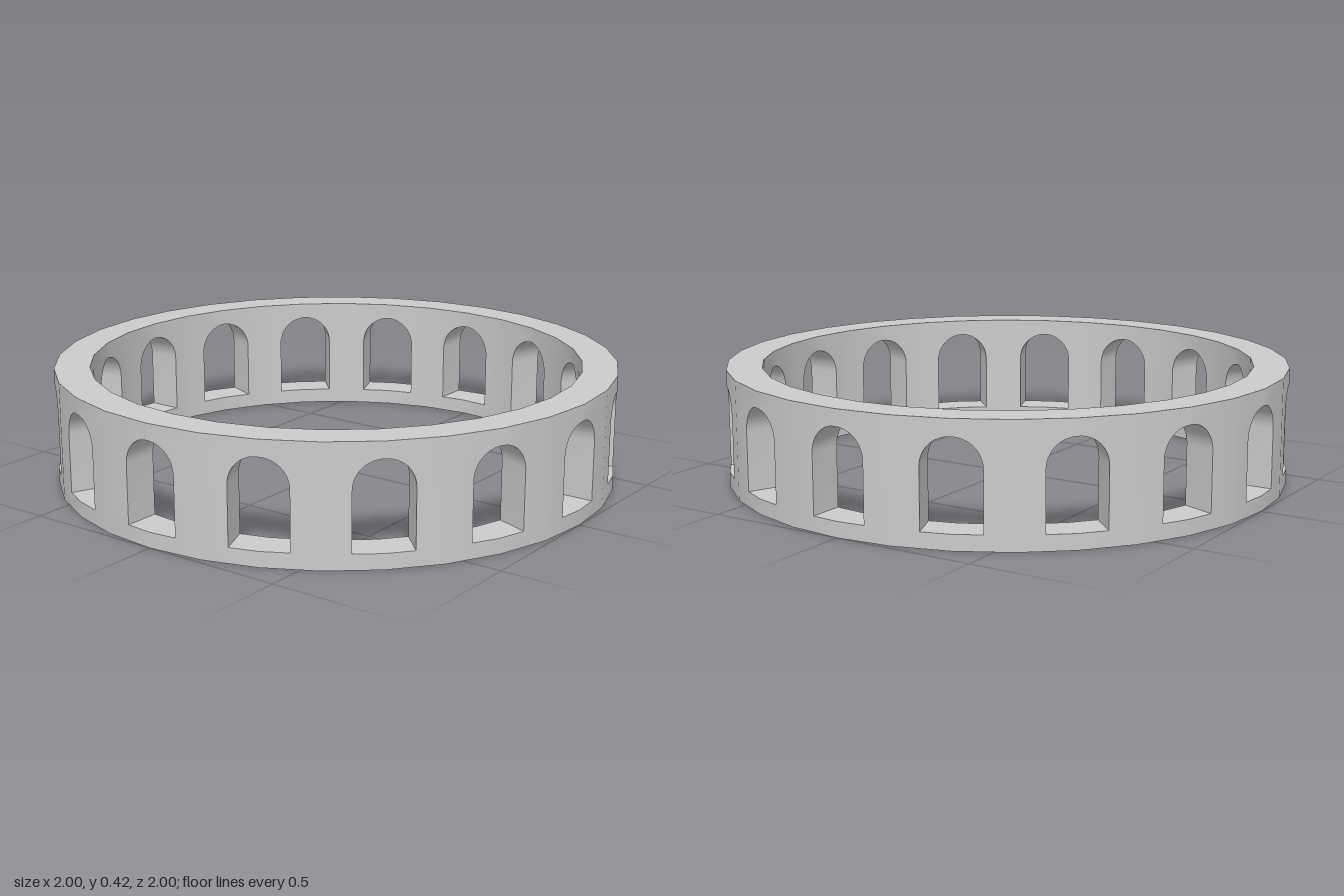
import * as THREE from 'three';
import { mergeGeometries, toCreasedNormals } from 'three/addons/utils/BufferGeometryUtils.js';

const BAYS = 16, INNER = 0.875, HEIGHT = 0.417;
const HALF_WIDTH = 0.1, SILL = 0.054, SPRING = 0.26; // arched opening
const HALF_ANGLE = Math.PI / BAYS;
const EDGE = Math.sin(HALF_ANGLE);                   // pier middle on the outer wall
const SLOPE = Math.tan(HALF_ANGLE / 2);              // how a flat facet falls away from the bay axis

// One facet of the ring: half a pier and half an opening, side = 1 or -1
function halfBay(side) {
  const pts = [[0, 0], [EDGE, 0], [EDGE, HEIGHT], [0, HEIGHT]];
  for (let i = 0; i <= 12; i++) {
    const a = (Math.PI / 2) * (1 - i / 12);
    pts.push([HALF_WIDTH * Math.cos(a), SPRING + HALF_WIDTH * Math.sin(a)]);
  }
  pts.push([HALF_WIDTH, SILL], [0, SILL]);
  const shape = new THREE.Shape(pts.map(([x, y]) => new THREE.Vector2(side * x, y)));
  const src = new THREE.ExtrudeGeometry(shape, { depth: 1, bevelEnabled: false }).getAttribute('position');

  const out = [];
  for (let i = 0; i < src.count; i += 3) {
    const xs = [0, 1, 2].map(k => Math.abs(src.getX(i + k)));
    // Leave out the walls where neighbouring facets join
    if (xs.every(x => x < 1e-5) || xs.every(x => x > EDGE - 1e-5)) continue;
    for (let k = 0; k < 3; k++) {
      const outer = src.getZ(i + k) > 0.5;
      // Opening sides stay parallel, pier middles run radially
      const x = !outer && xs[k] > EDGE - 1e-5 ? EDGE * INNER : xs[k];
      out.push(side * x, src.getY(i + k), (outer ? 1 : INNER) - x * SLOPE);
    }
  }
  const g = new THREE.BufferGeometry();
  g.setAttribute('position', new THREE.Float32BufferAttribute(out, 3));
  return g;
}

export function createModel() {
  const group = new THREE.Group();
  group.name = 'archedRing';

  // Repeat the mirrored bay around the ring
  const halves = [halfBay(1), halfBay(-1)];
  const parts = [];
  for (let i = 0; i < BAYS; i++) {
    for (const h of halves) parts.push(h.clone().rotateY(i * 2 * HALF_ANGLE));
  }

  // Smooth round the walls and arches, sharp at the rims
  const ring = new THREE.Mesh(
    toCreasedNormals(mergeGeometries(parts), 0.5),
    new THREE.MeshStandardMaterial({ color: 0xcccccc })
  );
  ring.name = 'arcadeWall';
  group.add(ring);
  return group;
}
